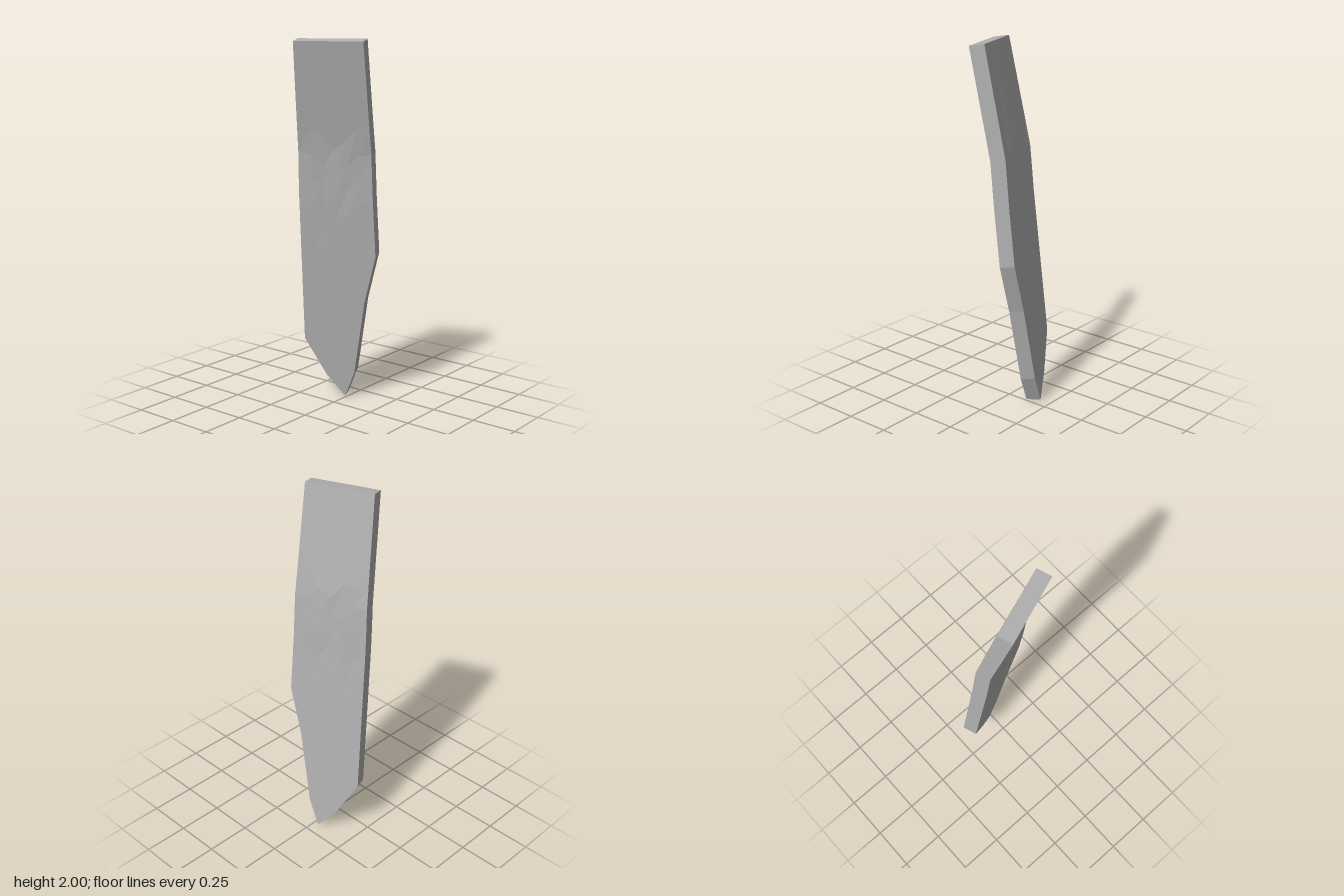
import * as THREE from 'three';

// Piecewise linear lookup in a list of [y, value] points
function sample(points, y) {
  for (let i = 1; i < points.length; i++) {
    const [y0, v0] = points[i - 1], [y1, v1] = points[i];
    if (y <= y1) return v0 + ((v1 - v0) * (y - y0)) / (y1 - y0);
  }
  return points[points.length - 1][1];
}

// Outline and bend of the front face
const LEFT_EDGE = [[0, -0.01], [0.12, -0.105], [0.33, -0.213], [1.38, -0.172], [1.988, -0.115]];
const RIGHT_EDGE = [[0, -0.01], [0.15, 0.05], [0.57, 0.13], [0.84, 0.205], [1.42, 0.213], [1.988, 0.241]];
const BEND = [[0, -0.12], [1.15, 0.008], [1.4, 0.03], [1.988, 0.153]];
const ROWS = [0, 0.12, 0.15, 0.33, 0.57, 0.84, 1.15, 1.28, 1.4, 1.55, 1.988];
const DIPS = [0, 0.03, 0.06, 0.11, 0.08, 0.03, 0]; // crease sag across the width
const THICKNESS = new THREE.Vector3(-0.03, 0.012, -0.076);

export function createModel() {
  let seed = 7;
  const random = () => ((seed = (seed * 16807) % 2147483647) / 2147483647) * 2 - 1;
  const last = DIPS.length - 1;

  // Front grid: leaning planks of the sheet with an uneven bent zone
  const front = ROWS.map((row) => DIPS.map((dip, j) => {
    const rough = row > 1.1 && row < 1.6 && j > 0 && j < last;
    const y = rough ? row - dip + 0.025 * random() : row;
    const left = sample(LEFT_EDGE, y), right = sample(RIGHT_EDGE, y);
    const x = left + ((right - left) * j) / last;
    const z = sample(BEND, y) - 0.365 * x + (rough ? 0.004 * random() : 0);
    return new THREE.Vector3(x, y, z);
  }));
  const back = front.map((row) => row.map((p) => p.clone().add(THICKNESS)));

  const positions = [];
  const tri = (a, b, c) => {
    if (new THREE.Triangle(a, b, c).getArea() < 1e-8) return;
    for (const p of [a, b, c]) positions.push(p.x, p.y, p.z);
  };
  const quad = (a, b, c, d) => { tri(a, b, c); tri(a, c, d); };

  for (let i = 0; i < ROWS.length - 1; i++) {
    const f = front[i], g = front[i + 1], b = back[i], c = back[i + 1];
    // Broad faces
    for (let j = 0; j < last; j++) {
      quad(f[j], f[j + 1], g[j + 1], g[j]);
      quad(b[j + 1], b[j], c[j], c[j + 1]);
    }
    // Narrow side faces
    quad(b[0], f[0], g[0], c[0]);
    quad(f[last], b[last], c[last], g[last]);
  }
  // Top end
  const topFront = front[ROWS.length - 1], topBack = back[ROWS.length - 1];
  for (let j = 0; j < last; j++) quad(topFront[j], topFront[j + 1], topBack[j + 1], topBack[j]);

  const geometry = new THREE.BufferGeometry();
  geometry.setAttribute('position', new THREE.Float32BufferAttribute(positions, 3));
  geometry.computeVertexNormals();

  const grey = new THREE.MeshStandardMaterial({ color: 0xb0b0b0 });
  grey.name = 'grey';
  const slab = new THREE.Mesh(geometry, grey);
  slab.name = 'bentShard';

  const group = new THREE.Group();
  group.name = 'shard';
  group.add(slab);
  return group;
}
